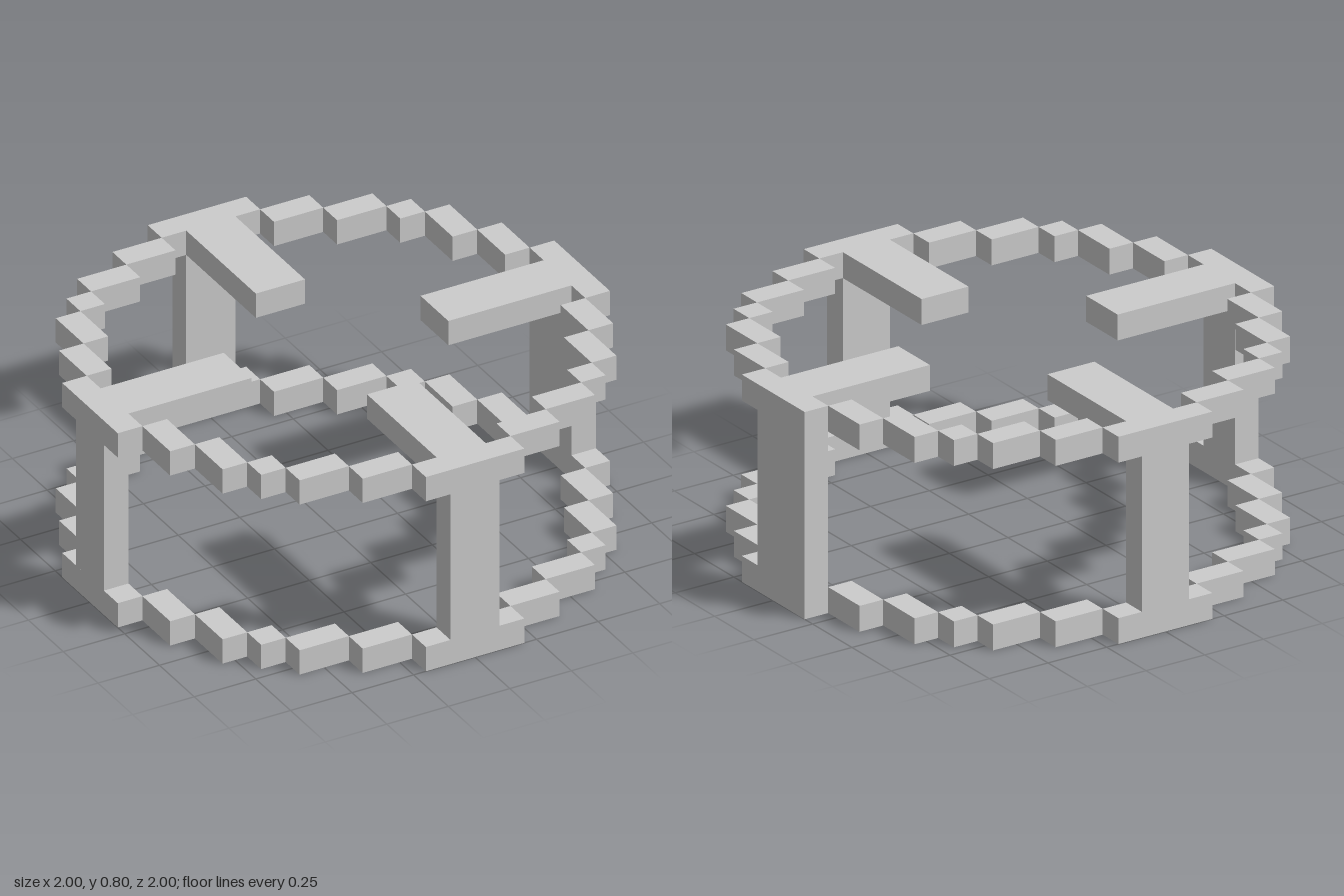
import * as THREE from 'three';

const material = new THREE.MeshStandardMaterial({ color: 0xcccccc, flatShading: true });

// Box given by its extents along each axis
function block(parent, name, [x0, x1], [y0, y1], [z0, z1]) {
  const mesh = new THREE.Mesh(new THREE.BoxGeometry(x1 - x0, y1 - y0, z1 - z0), material);
  mesh.name = name;
  mesh.position.set((x0 + x1) / 2, (y0 + y1) / 2, (z0 + z1) / 2);
  parent.add(mesh);
}

const mirror = ([a, b], sign) => (sign > 0 ? [a, b] : [-b, -a]);

// Stepped blocks of one ring quadrant: x extent, z extent
const steps = [
  [[0.2, 0.4], [0.8, 0.9]],
  [[0.4, 0.6], [0.7, 0.8]],
  [[0.6, 0.7], [0.6, 0.7]],
  [[0.7, 0.8], [0.4, 0.6]],
  [[0.8, 0.9], [0.2, 0.4]],
];

function ring(name, y) {
  const group = new THREE.Group();
  group.name = name;
  for (const s of [1, -1]) {
    block(group, 'ringEndBar', [-0.2, 0.2], y, mirror([0.9, 1], s));
    block(group, 'ringSideBar', mirror([0.9, 1], s), y, [-0.2, 0.2]);
    for (const t of [1, -1]) {
      for (const [x, z] of steps) block(group, 'ringStep', mirror(x, s), y, mirror(z, t));
    }
  }
  return group;
}

export function createModel() {
  const model = new THREE.Group();
  model.name = 'steppedRingFrame';
  const top = [0.7, 0.8];
  const between = [0.1, 0.7];
  const narrow = [-0.1, 0.1];

  model.add(ring('lowerRing', [0, 0.1]), ring('upperRing', top));

  // Pillars joining the rings; the left one is wider towards the back
  block(model, 'frontPillar', narrow, between, [0.9, 1]);
  block(model, 'backPillar', narrow, between, [-1, -0.9]);
  block(model, 'leftPillar', [0.9, 1], between, [-0.2, 0.1]);
  block(model, 'rightPillar', [-1, -0.9], between, narrow);

  // Arms reaching inwards from the upper ring
  for (const s of [1, -1]) {
    block(model, s > 0 ? 'frontArm' : 'backArm', narrow, top, mirror([0.4, 0.9], s));
    block(model, s > 0 ? 'leftArm' : 'rightArm', mirror([0.4, 0.9], s), top, narrow);
  }
  return model;
}
